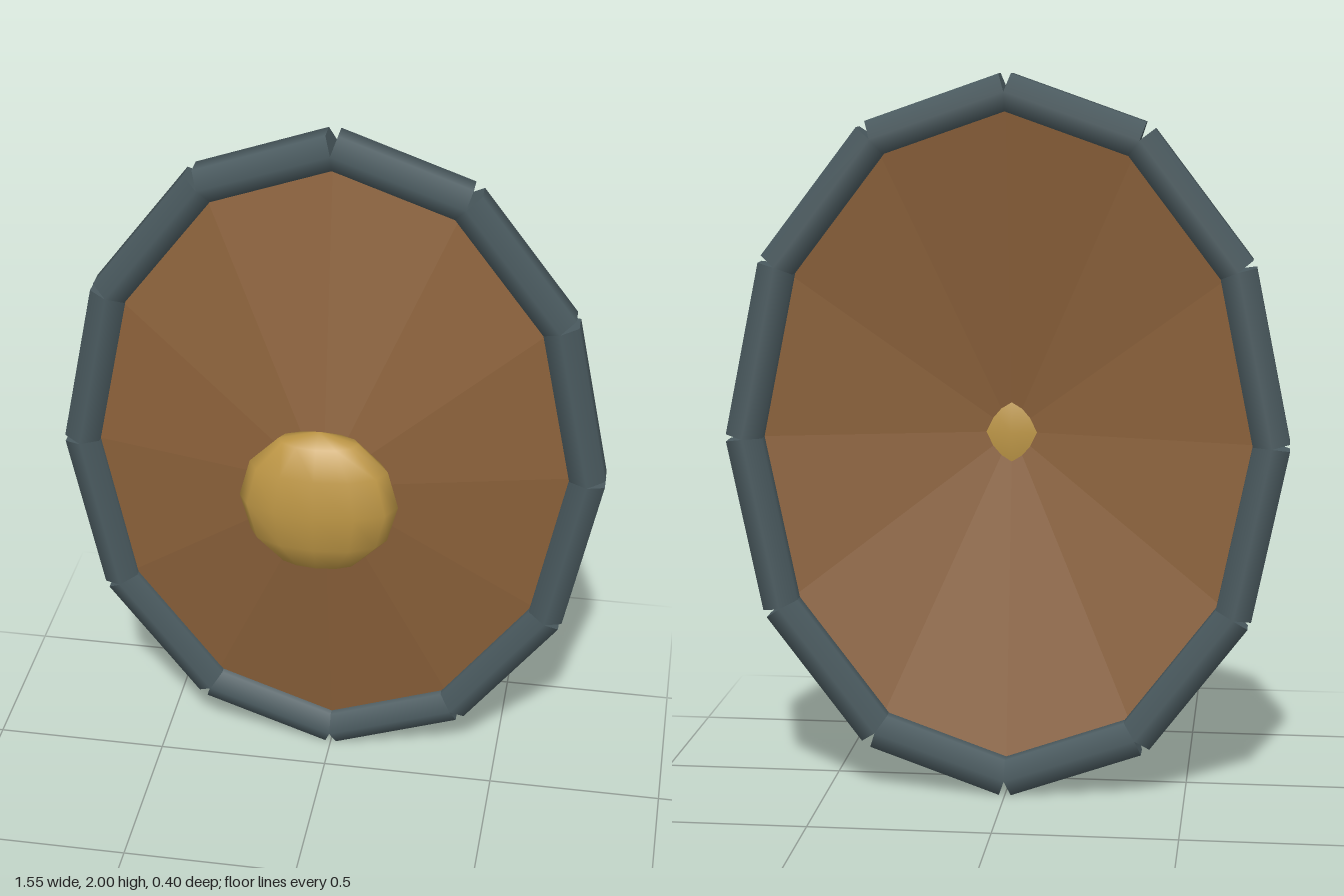
import * as THREE from 'three';

export function createModel() {
  const model = new THREE.Group();
  const wood = new THREE.MeshStandardMaterial({ color: 0x8b613a, side: THREE.DoubleSide, flatShading: true });
  wood.name = 'brown wood';
  const iron = new THREE.MeshStandardMaterial({ color: 0x4a5a5f });
  iron.name = 'dark iron';
  const brass = new THREE.MeshStandardMaterial({ color: 0xbd9645 });
  brass.name = 'brass';

  const SIDES = 12, A = 0.726, B = 0.9525, RIM_Z = -0.142, APEX_Z = 0.025, R = 0.058;
  const corner = (i) => {
    const t = (i / SIDES) * Math.PI * 2;
    return new THREE.Vector3(A * Math.sin(t), 1 + B * Math.cos(t), RIM_Z);
  };

  // Shallow open cone, stretched to an oval
  const depth = APEX_Z - RIM_Z;
  const coneGeo = new THREE.ConeGeometry(1, depth, SIDES, 1, true);
  coneGeo.rotateX(Math.PI / 2);
  coneGeo.scale(A, B, 1);
  const board = new THREE.Mesh(coneGeo, wood);
  board.name = 'shieldBoard';
  board.position.set(0, 1, (APEX_Z + RIM_Z) / 2);
  model.add(board);

  // Straight six-sided bars from corner to corner
  const rim = new THREE.Group();
  rim.name = 'rim';
  for (let i = 0; i < SIDES; i++) {
    const a = corner(i), b = corner(i + 1);
    const bar = new THREE.Mesh(new THREE.CylinderGeometry(R, R, a.distanceTo(b), 6), iron);
    bar.name = 'rimBar' + (i + 1);
    bar.position.addVectors(a, b).multiplyScalar(0.5);
    bar.rotation.z = Math.atan2(b.y - a.y, b.x - a.x) - Math.PI / 2;
    rim.add(bar);
  }
  model.add(rim);

  // Flattened round boss, its back just piercing the board
  const boss = new THREE.Mesh(new THREE.SphereGeometry(0.222, 12, 6), brass);
  boss.name = 'boss';
  boss.scale.z = 0.45;
  boss.position.set(0, 1, 0.1);
  model.add(boss);

  return model;
}
